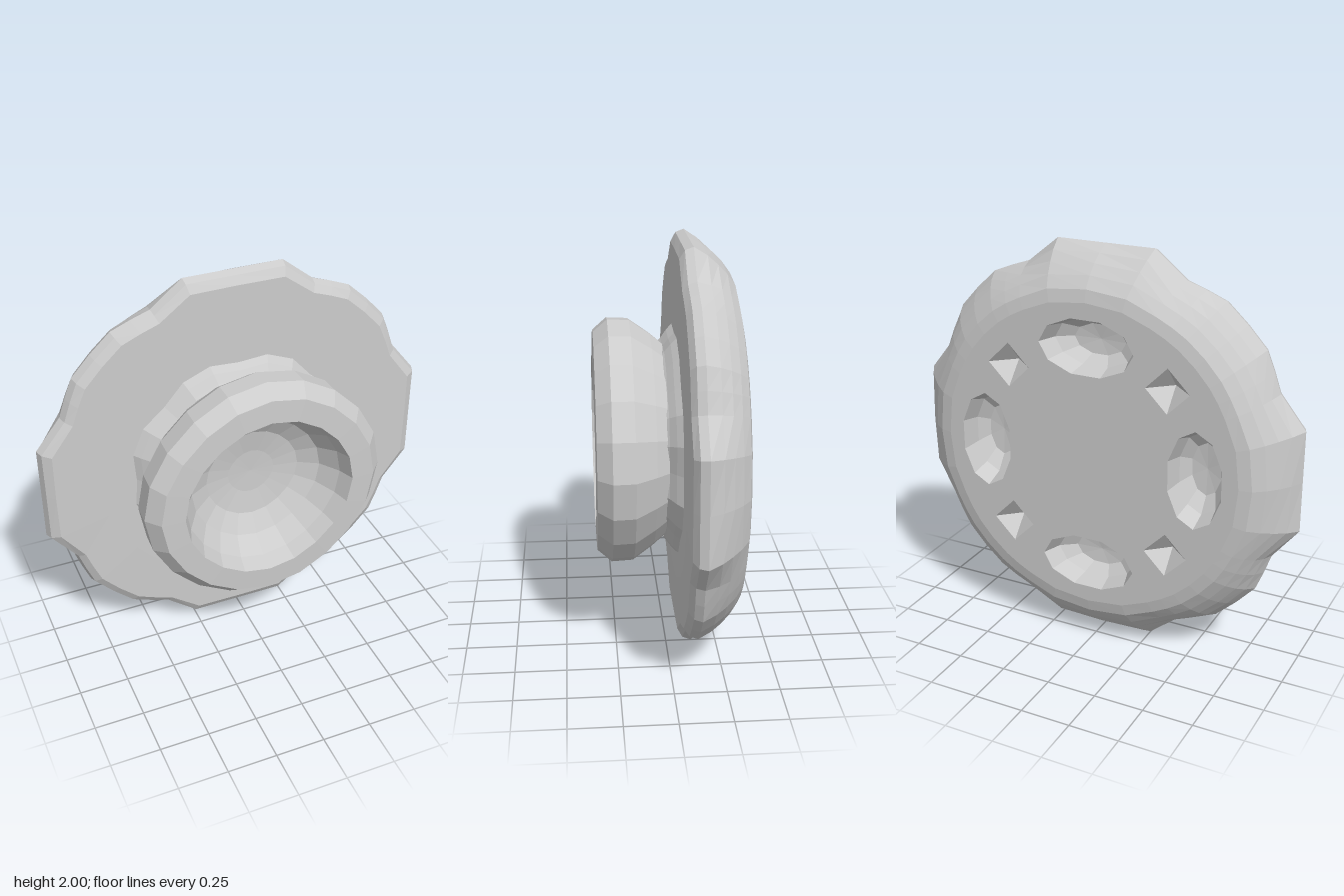
import * as THREE from 'three';

const material = new THREE.MeshStandardMaterial({ color: 0xcccccc, flatShading: true, side: THREE.DoubleSide });

// Scalloped rim: angle in degrees and radius for one quadrant, repeated four times
const scallop = [
  [0, 1], [14, 1.031], [25, 0.964], [31, 0.98], [37, 1.002],
  [45, 0.998], [53, 1.002], [59, 0.98], [65, 0.964], [76, 1.031],
];
const rim = [];
for (let q = 0; q < 4; q++) {
  for (const [deg, r] of scallop) rim.push([(deg + q * 90) * Math.PI / 180, r]);
}

// Ring of n directions, with an optional radius wave
function circle(n, start = 0, wave = 0, lobes = 8) {
  return Array.from({ length: n }, (_, i) => {
    const a = start + i / n * Math.PI * 2;
    return [a, 1 + wave * Math.cos(a * lobes)];
  });
}

// Point on a ring; amount says how strongly the uneven radius shows
function ringPoint([a, k], r, amount = 1) {
  const d = r * (1 + (k - 1) * amount);
  return [Math.cos(a) * d, Math.sin(a) * d];
}

// Skin a row of rings [radius, z, amount] around the z axis
function loft(name, ring, profile) {
  const n = ring.length, pos = [], index = [];
  for (const [r, z, amount] of profile) {
    for (const p of ring) pos.push(...ringPoint(p, r, amount), z);
  }
  for (let i = 0; i < profile.length - 1; i++) {
    for (let j = 0; j < n; j++) {
      const k = (j + 1) % n, a = i * n + j, b = i * n + k, c = b + n, d = a + n;
      index.push(a, b, d);
      if (profile[i + 1][0] > 0) index.push(b, c, d);
    }
  }
  const geo = new THREE.BufferGeometry();
  geo.setAttribute('position', new THREE.Float32BufferAttribute(pos, 3));
  geo.setIndex(index);
  geo.computeVertexNormals();
  const mesh = new THREE.Mesh(geo, material);
  mesh.name = name;
  return mesh;
}

export function createModel() {
  const model = new THREE.Group();
  model.name = 'flangedKnob';
  const body = new THREE.Group();
  body.name = 'body';
  body.position.y = 1;
  model.add(body);

  // Broad disc: full rounded back edge, scalloped rim, flat front
  body.add(loft('disc', rim, [
    [0.77, -0.338, 0.1], [0.83, -0.325, 0.15], [0.885, -0.285, 0.25], [0.93, -0.24, 0.4], [0.967, -0.19, 0.7],
    [1, -0.125, 1], [0.985, -0.085, 1], [0.945, -0.06, 0.9], [0.7, -0.058, 0.4], [0.5, -0.058, 0],
  ]));

  // Narrow neck, slightly lobed
  body.add(loft('neck', circle(24, 0, -0.035, 8), [
    [0.56, -0.058], [0.53, -0.03], [0.49, 0], [0.48, 0.01],
  ]));

  // Flared cup with a flat lip
  const cupRing = circle(20, 0, 0.012, 4);
  body.add(loft('cup', cupRing, [
    [0.48, 0], [0.53, 0.06], [0.6, 0.16], [0.605, 0.265], [0.545, 0.335], [0.43, 0.34],
  ]));

  // Hollow inside the cup: sloping wall, broad floor
  body.add(loft('bowl', cupRing, [
    [0.43, 0.34], [0.4, 0.26], [0.335, 0.165], [0.24, 0.11], [0.12, 0.09], [0, 0.085],
  ]));

  // Back face, built facing +z and turned round
  const back = new THREE.Group();
  back.name = 'back';
  back.rotation.y = Math.PI;
  body.add(back);

  const plate = new THREE.Shape(rim.map(p => new THREE.Vector2(...ringPoint(p, 0.77, 0.1))));
  const oval = circle(10, Math.PI / 10);
  const diamond = circle(4);

  for (let i = 0; i < 4; i++) {
    const a = i * Math.PI / 2;

    // Long oval pocket on each axis
    const large = loft('largePocket', oval, [[1, 0.338], [0.86, 0.24], [0.55, 0.185], [0, 0.175]]);
    large.scale.set(0.14, 0.245, 1);
    large.rotation.z = a;
    large.position.set(Math.cos(a) * 0.555, Math.sin(a) * 0.555, 0);

    // Small pyramid pocket on each diagonal
    const small = loft('smallPocket', diamond, [[1, 0.338], [0, 0.24]]);
    small.scale.set(0.11, 0.11, 1);
    small.position.set(Math.cos(a + Math.PI / 4) * 0.585, Math.sin(a + Math.PI / 4) * 0.585, 0);

    // Matching openings in the back plate
    for (const [pocket, ring] of [[large, oval], [small, diamond]]) {
      pocket.updateMatrix();
      const points = ring.map(p => {
        const v = new THREE.Vector3(...ringPoint(p, 1), 0).applyMatrix4(pocket.matrix);
        return new THREE.Vector2(v.x, v.y);
      });
      plate.holes.push(new THREE.Path(points));
      back.add(pocket);
    }
  }

  const backPlate = new THREE.Mesh(new THREE.ShapeGeometry(plate), material);
  backPlate.name = 'backPlate';
  backPlate.position.z = 0.338;
  back.add(backPlate);

  return model;
}
